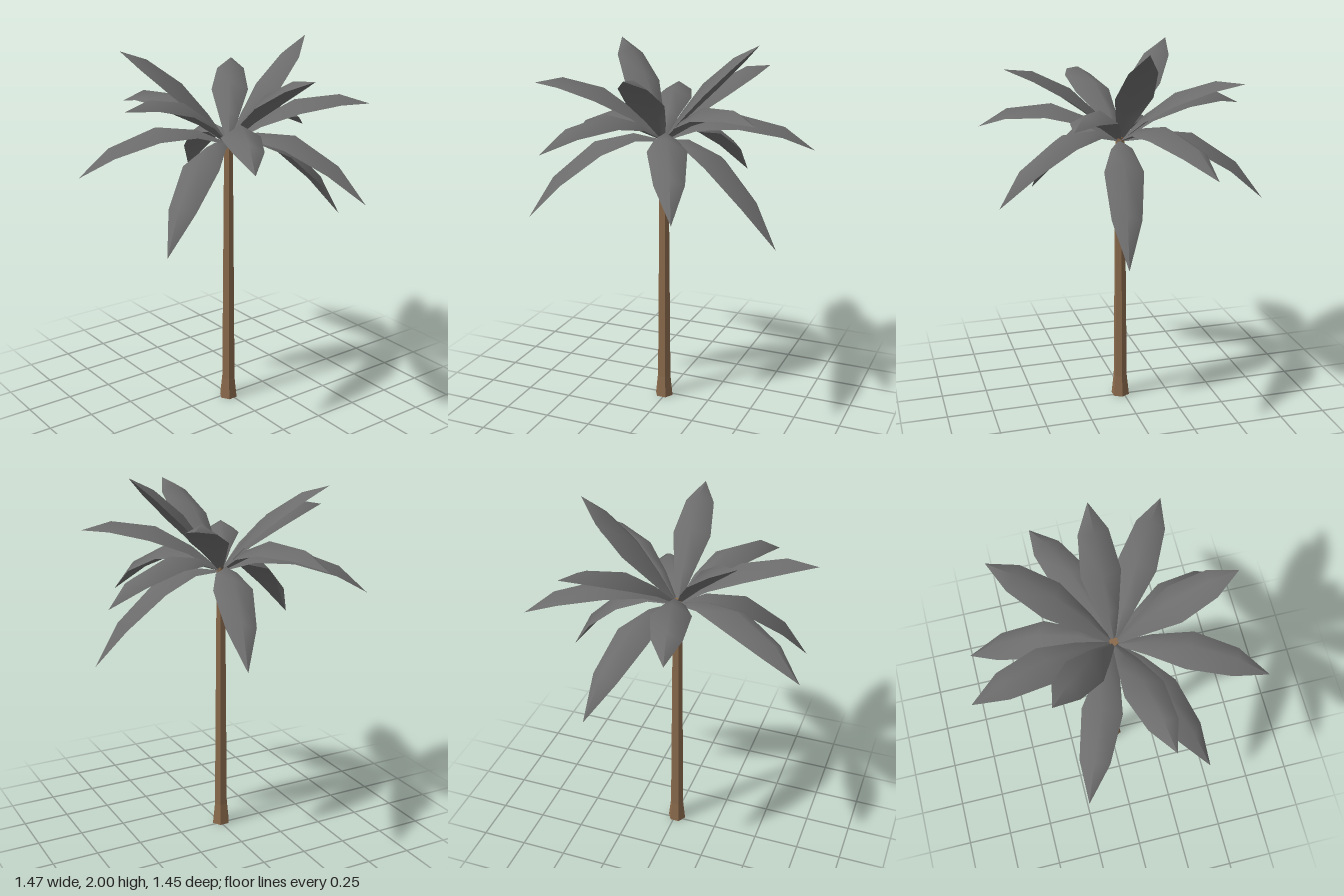
import * as THREE from 'three';

const CROWN = new THREE.Vector3(-0.01, 1.475, 0.017);

// Frond tips (x, y, z) and the height of each frond's arch
const FRONDS = [
  [-0.205, 1.605, -0.725, 0.115],
  [0.22, 1.17, -0.705, 0.155],
  [0.397, 1.82, -0.513, 0.075],
  [0.733, 1.43, -0.257, 0.125],
  [0.5, 2.0, 0.015, 0.035],
  [0.66, 1.0, 0.16, 0.16],
  [0.615, 1.68, 0.412, 0.095],
  [0.32, 1.255, 0.72, 0.155],
  [0.045, 1.89, 0.63, 0.065],
  [-0.368, 1.52, 0.71, 0.125],
  [-0.635, 1.08, 0.377, 0.16],
  [-0.705, 1.755, 0.14, 0.095],
  [-0.74, 1.34, -0.285, 0.135],
  [-0.425, 1.95, -0.365, 0.055],
];

// Stations along a frond: position, half width
const STATIONS = [[0, 0.008], [0.22, 0.055], [0.48, 0.1], [0.78, 0.075], [1, 0]];

// Height of the left edge, midrib and right edge, as a share of the half width
const SECTION = [[-1, -0.18], [0, 0.42], [1, -0.18]];

// Arched leaf blade with its edges folded below the midrib
function frondGeometry([x, y, z, arch]) {
  const chord = new THREE.Vector3(x, y, z).sub(CROWN);
  const side = new THREE.Vector3(chord.x, 0, chord.z).normalize().cross(new THREE.Vector3(0, 1, 0));
  const positions = [];
  const indices = [];
  STATIONS.forEach(([t, w], i) => {
    const mid = CROWN.clone().addScaledVector(chord, t);
    mid.y += 4 * arch * t * (1 - t);
    const tangent = chord.clone();
    tangent.y += 4 * arch * (1 - 2 * t);
    const normal = side.clone().cross(tangent.normalize());
    for (const [s, h] of SECTION) {
      const p = mid.clone().addScaledVector(side, s * w).addScaledVector(normal, h * w);
      positions.push(p.x, p.y, p.z);
    }
    if (i === STATIONS.length - 1) return;
    for (let j = 0; j < 2; j++) {
      const a = i * 3 + j;
      indices.push(a, a + 1, a + 3);
      // The last station is a single point, so it needs no second triangle
      if (i < STATIONS.length - 2) indices.push(a + 1, a + 4, a + 3);
    }
  });
  const geometry = new THREE.BufferGeometry();
  geometry.setAttribute('position', new THREE.Float32BufferAttribute(positions, 3));
  geometry.setIndex(indices);
  geometry.computeVertexNormals();
  return geometry;
}

export function createModel() {
  const group = new THREE.Group();
  const bark = new THREE.MeshStandardMaterial({ name: 'bark brown', color: 0x8a6a4c, flatShading: true });
  const leaf = new THREE.MeshStandardMaterial({ name: 'leaf grey', color: 0x6c6c6c, side: THREE.DoubleSide });

  // Six-sided trunk: a flared foot and a long taper
  const trunkPart = (name, rTop, rBottom, y0, y1) => {
    const geometry = new THREE.CylinderGeometry(rTop, rBottom, y1 - y0, 6);
    geometry.rotateY(Math.PI / 6);
    const mesh = new THREE.Mesh(geometry, bark);
    mesh.name = name;
    mesh.position.set(CROWN.x, (y0 + y1) / 2, CROWN.z);
    group.add(mesh);
  };
  trunkPart('trunkFoot', 0.038, 0.051, 0, 0.12);
  trunkPart('trunk', 0.025, 0.038, 0.12, 1.5);

  // Crown of fronds
  const crown = new THREE.Group();
  crown.name = 'crown';
  FRONDS.forEach((data, i) => {
    const mesh = new THREE.Mesh(frondGeometry(data), leaf);
    mesh.name = `frond${i + 1}`;
    crown.add(mesh);
  });
  group.add(crown);
  return group;
}
